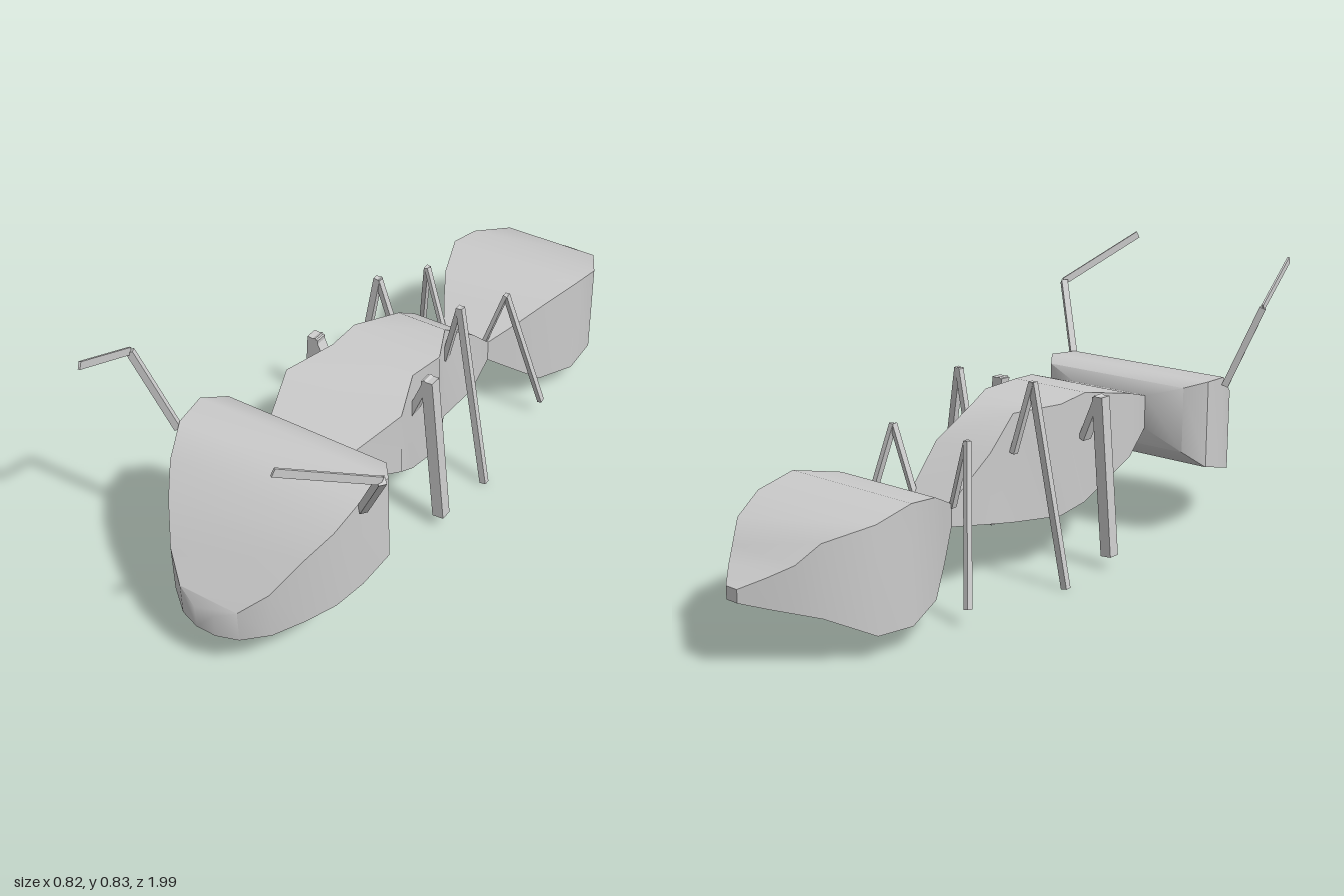
import * as THREE from 'three';
import { toCreasedNormals } from 'three/addons/utils/BufferGeometryUtils.js';

const material = new THREE.MeshStandardMaterial({ color: 0xcccccc });
const CENTRE_X = -0.016;

// Lofts rectangular sections [z, half width, bottom y, top y], listed front to back.
function loft(name, sections) {
  const positions = [];
  const index = [];
  sections.forEach(([z, w, bottom, top], i) => {
    positions.push(-w, bottom, z, w, bottom, z, w, top, z, -w, top, z);
    if (i === 0) return;
    for (let j = 0; j < 4; j++) {
      const k = (j + 1) % 4;
      const a = (i - 1) * 4 + j, b = (i - 1) * 4 + k;
      const c = i * 4 + k, d = i * 4 + j;
      index.push(a, d, b, b, d, c);
    }
  });
  const e = (sections.length - 1) * 4;
  index.push(0, 1, 2, 0, 2, 3, e, e + 2, e + 1, e, e + 3, e + 2);
  const geometry = new THREE.BufferGeometry();
  geometry.setAttribute('position', new THREE.Float32BufferAttribute(positions, 3));
  geometry.setIndex(index);
  const mesh = new THREE.Mesh(toCreasedNormals(geometry, 0.75), material);
  mesh.name = name;
  mesh.position.x = CENTRE_X;
  return mesh;
}

// A jointed limb: one slim bar per pair of points; `up` sets the direction of its height.
function limb(name, points, width, height, up) {
  const group = new THREE.Group();
  group.name = name;
  for (let i = 0; i < points.length - 1; i++) {
    const from = new THREE.Vector3(...points[i]);
    const to = new THREE.Vector3(...points[i + 1]);
    const bar = new THREE.Mesh(new THREE.BoxGeometry(width[i], height, from.distanceTo(to)), material);
    bar.name = i === 0 ? 'innerSegment' : 'outerSegment';
    bar.up.set(...up);
    bar.position.copy(from).lerp(to, 0.5);
    bar.lookAt(to);
    group.add(bar);
  }
  return group;
}

export function createModel() {
  const model = new THREE.Group();
  model.name = 'ant';

  // Body
  model.add(
    loft('head', [
      [0.94, 0.03, 0.13, 0.2],
      [0.92, 0.09, 0.13, 0.225],
      [0.87, 0.155, 0.14, 0.28],
      [0.8, 0.21, 0.16, 0.365],
      [0.73, 0.255, 0.18, 0.425],
      [0.65, 0.283, 0.205, 0.485],
      [0.55, 0.296, 0.23, 0.49],
      [0.49, 0.25, 0.28, 0.475],
      [0.46, 0.135, 0.34, 0.44],
    ]),
    loft('thorax', [
      [0.46, 0.135, 0.34, 0.44],
      [0.32, 0.185, 0.29, 0.48],
      [0.18, 0.13, 0.175, 0.5],
      [0.06, 0.14, 0.165, 0.49],
      [-0.07, 0.077, 0.165, 0.478],
      [-0.19, 0.1, 0.195, 0.395],
      [-0.32, 0.077, 0.215, 0.28],
    ]),
    loft('abdomen', [
      [-0.32, 0.077, 0.215, 0.28],
      [-0.4, 0.127, 0.147, 0.318],
      [-0.48, 0.172, 0.08, 0.355],
      [-0.61, 0.217, 0.06, 0.38],
      [-0.73, 0.215, 0.07, 0.355],
      [-0.85, 0.153, 0.135, 0.325],
      [-0.9, 0.115, 0.152, 0.275],
      [-0.95, 0.07, 0.168, 0.247],
      [-1, 0.02, 0.185, 0.22],
    ]),
  );

  // Legs: hip, knee and foot on the left side, mirrored about the body's centre line
  const legs = [
    { name: 'frontLeg', points: [[0.13, 0.37, 0.17], [0.185, 0.5, 0.17], [0.225, 0.04, 0.17]], width: [0.02, 0.035], depth: 0.035 },
    { name: 'middleLeg', points: [[0.08, 0.37, -0.08], [0.135, 0.575, -0.065], [0.24, 0.005, -0.045]], width: [0.016, 0.02], depth: 0.018 },
    { name: 'hindLeg', points: [[0.07, 0.27, -0.315], [0.135, 0.465, -0.327], [0.22, 0.05, -0.42]], width: [0.012, 0.014], depth: 0.018 },
  ];
  for (const { name, points, width, depth } of legs) {
    for (const side of [1, -1]) {
      const placed = points.map(([x, y, z]) => [side * x + CENTRE_X - 0.007, y, z]);
      model.add(limb((side > 0 ? 'left ' : 'right ') + name, placed, width, depth, [0, 0, 1]));
    }
  }

  // Antennae, posed slightly differently on each side
  model.add(
    limb('left antenna', [[0.27, 0.46, 0.65], [0.395, 0.685, 0.75], [0.273, 0.825, 0.985]], [0.02, 0.006], 0.022, [0, 1, 0]),
    limb('right antenna', [[-0.305, 0.46, 0.65], [-0.397, 0.7, 0.695], [-0.348, 0.812, 0.912]], [0.016, 0.006], 0.02, [0, 1, 0]),
  );
  return model;
}
